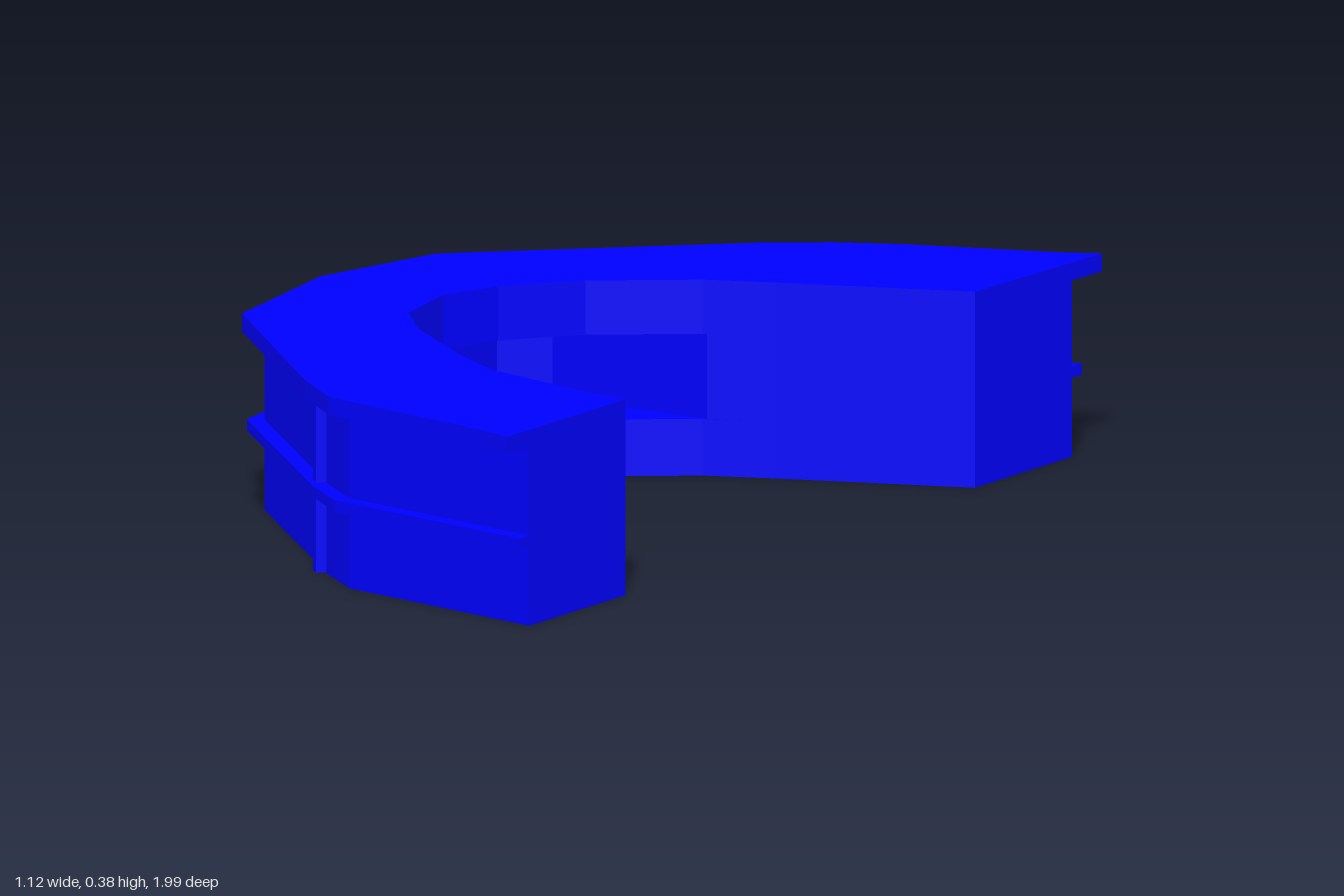
import * as THREE from 'three';

// plan outlines as [x, z]
const topOuter = [[0.56, -1], [0.48, -0.96], [0.2, -0.86], [0.08, -0.8], [-0.04, -0.715], [-0.49, -0.3],
  [-0.56, -0.01], [-0.5, 0.35], [-0.07, 0.78], [0.05, 0.88], [0.45, 0.965], [0.53, 0.99]];
const bodyOuter = [[0.55, -0.912], [0.22, -0.805], [0.1, -0.755], [-0.02, -0.67], [-0.455, -0.275],
  [-0.508, 0], [-0.462, 0.33], [-0.04, 0.745], [0.06, 0.825], [0.53, 0.915]];
const innerStart = [[0.53, 0.585], [0.42, 0.57], [0.17, 0.505]];
const innerEnd = [[0.19, -0.44], [0.55, -0.58]];
const innerCurve = [[0.05, 0.43], [-0.15, 0.275], [-0.24, 0.17], [-0.275, 0], [-0.23, -0.12],
  [-0.12, -0.255], [0.06, -0.385]];
const inner = [...innerStart, ...innerCurve, ...innerEnd];
// the same inner edge, cut back to form the recess
const nicheInner = [...innerStart, [0.063, 0.44], [-0.32, 0.44], [-0.365, 0.395], [-0.365, -0.32],
  [-0.285, -0.39], [0.067, -0.39], ...innerEnd];

// shift an open outline outwards with mitred corners
function offset(points, d) {
  const normals = points.slice(1).map((p, i) => {
    const dx = p[0] - points[i][0], dz = p[1] - points[i][1], l = Math.hypot(dx, dz);
    return [-dz / l, dx / l];
  });
  return points.map(([x, z], i) => {
    const a = normals[Math.max(i - 1, 0)], b = normals[Math.min(i, normals.length - 1)];
    const k = d / (1 + a[0] * b[0] + a[1] * b[1]);
    const end = i === 0 || i === points.length - 1;
    // ends stay in their cutting plane
    return end ? [x, z + d / a[1]] : [x + (a[0] + b[0]) * k, z + (a[1] + b[1]) * k];
  });
}

export function createModel() {
  const group = new THREE.Group();
  const material = new THREE.MeshStandardMaterial({ color: 0x0000ff });

  const add = (name, geometry) => {
    const mesh = new THREE.Mesh(geometry, material);
    mesh.name = name;
    group.add(mesh);
    return mesh;
  };
  const slab = (name, outline, y0, y1) => {
    const shape = new THREE.Shape(outline.map(([x, z]) => new THREE.Vector2(x, -z)));
    const geometry = new THREE.ExtrudeGeometry(shape, { depth: y1 - y0, bevelEnabled: false });
    add(name, geometry.rotateX(-Math.PI / 2).translate(0, y0, 0));
  };

  // counter body with the recess in its middle layer
  slab('lowerBody', [...bodyOuter, ...inner], 0, 0.11);
  slab('recessedBody', [...bodyOuter, ...nicheInner], 0.11, 0.275);
  slab('upperBody', [...bodyOuter, ...inner], 0.275, 0.345);

  // overhanging top
  slab('counterTop', [...topOuter, ...inner], 0.345, 0.38);

  // horizontal rail around the outside
  slab('rail', [...offset(bodyOuter, 0.032), ...bodyOuter.slice().reverse()], 0.153, 0.175);

  // upright ribs: x, z and outward direction
  const ribs = [[-0.065, -0.63, -0.672, -0.74], [-0.508, 0, -1, 0.02], [-0.065, 0.72, -0.701, 0.713]];
  for (const [x, z, nx, nz] of ribs) {
    const rib = add('rib', new THREE.BoxGeometry(0.03, 0.345, 0.04));
    rib.position.set(x, 0.1725, z);
    rib.rotation.y = Math.atan2(nx, nz);
  }
  return group;
}
